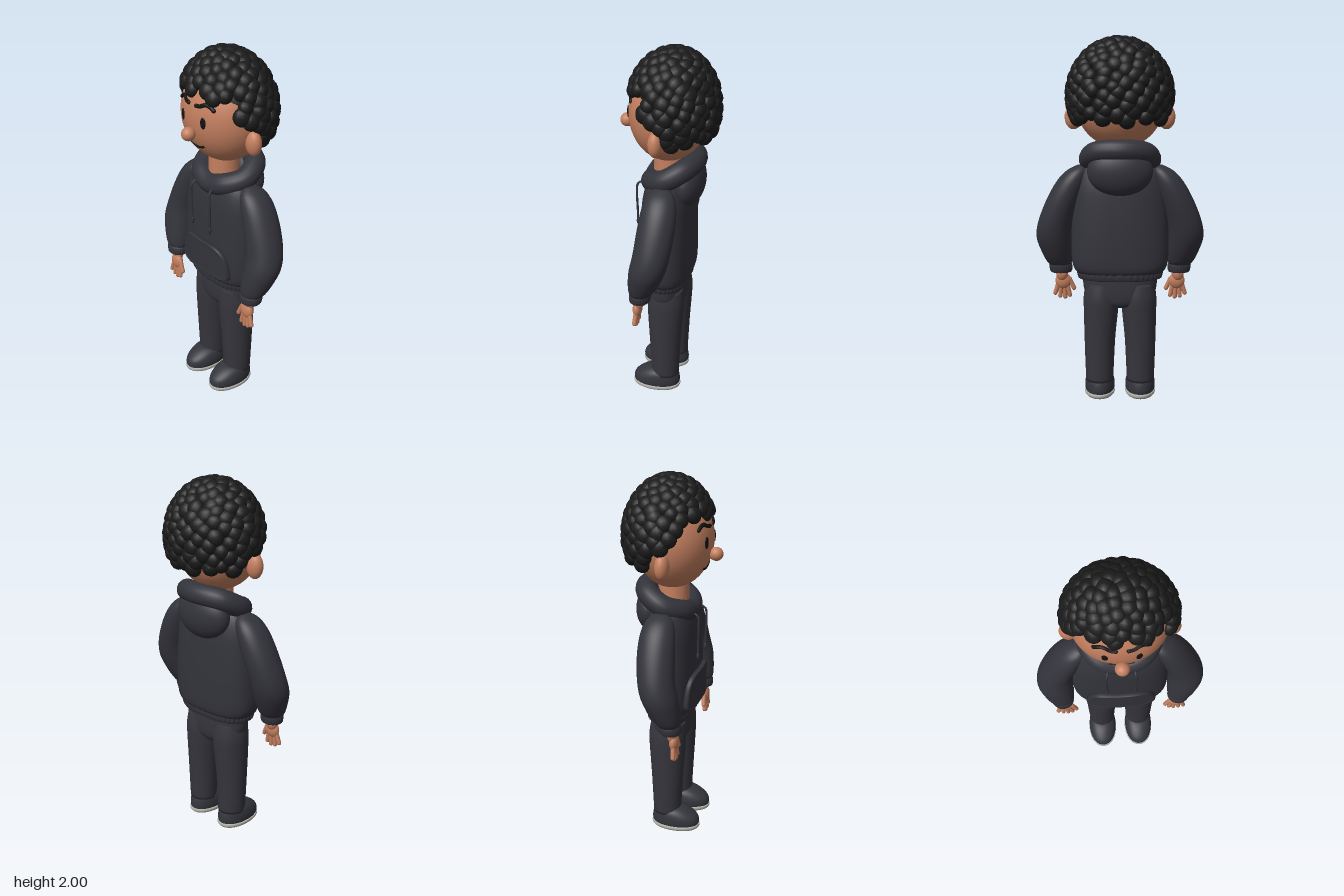
import * as THREE from 'three';

const mat = (name, color) => Object.assign(new THREE.MeshStandardMaterial({ color }), { name });

// Skin over a stack of closed rings, with both ends capped
function skin(rings) {
  const pos = [], idx = [], n = rings[0].length;
  rings.forEach(r => r.forEach(p => pos.push(p.x, p.y, p.z)));
  for (let i = 0; i < rings.length - 1; i++) {
    for (let j = 0; j < n; j++) {
      const a = i * n + j, b = i * n + (j + 1) % n, c = a + n, d = b + n;
      idx.push(a, c, b, b, c, d);
    }
  }
  [0, rings.length - 1].forEach(k => {
    const mid = rings[k].reduce((s, p) => s.add(p), new THREE.Vector3()).divideScalar(n);
    const m = pos.length / 3;
    pos.push(mid.x, mid.y, mid.z);
    for (let j = 0; j < n; j++) {
      const a = k * n + j, b = k * n + (j + 1) % n;
      if (k) idx.push(a, m, b); else idx.push(a, b, m);
    }
  });
  const g = new THREE.BufferGeometry();
  g.setAttribute('position', new THREE.Float32BufferAttribute(pos, 3));
  g.setIndex(idx);
  g.computeVertexNormals();
  return g;
}

// Smooth column of superellipse sections: [y, centre x, centre z, radius x, radius z]
function column(sections, { power = 2, segs = 40, steps = 4, ribs = 0 } = {}) {
  const at = i => sections[Math.max(0, Math.min(sections.length - 1, i))];
  const rings = [];
  for (let k = 0; k <= (sections.length - 1) * steps; k++) {
    const i = Math.floor(k / steps), t = k / steps - i;
    const [y, cx, cz, rx, rz] = at(i).map((p1, c) => {
      const p0 = at(i - 1)[c], p2 = at(i + 1)[c], p3 = at(i + 2)[c];
      return p1 + 0.5 * t * (p2 - p0 + t * (2 * p0 - 5 * p1 + 4 * p2 - p3 + t * (3 * (p1 - p2) + p3 - p0)));
    });
    rings.push(Array.from({ length: segs }, (_, j) => {
      const a = j / segs * Math.PI * 2, c = Math.cos(a), s = Math.sin(a);
      const f = ribs ? 1 + 0.018 * Math.cos(a * ribs) : 1;
      const pw = v => Math.sign(v) * Math.abs(v) ** (2 / power);
      return new THREE.Vector3(cx + f * rx * pw(c), y, cz + f * rz * pw(s));
    }));
  }
  return skin(rings);
}

const V = (x, y, z) => new THREE.Vector3(x, y, z);
const faceZ = (x, y) => 0.21 * Math.sqrt(Math.max(0, 1 - (x / 0.245) ** 2 - ((y - 1.66) / 0.26) ** 2));
const bellyZ = x => 0.14 * (1 - Math.abs(x / 0.265) ** 2.5) ** 0.4;

export function createModel() {
  const model = new THREE.Group();
  const skinTone = mat('skin', 0xc47f5f), hair = mat('hair', 0x1b1b1b), ink = mat('face ink', 0x131111);
  const hoodie = mat('hoodie', 0x33333b), trousers = mat('trousers', 0x35353c);
  const shoe = mat('shoe', 0x34353c), sole = mat('sole', 0xb6b6ae);

  const add = (name, geo, material) => {
    const m = new THREE.Mesh(geo, material);
    m.name = name;
    model.add(m);
    return m;
  };
  const ball = (name, material, p, r, segs = 24) => {
    const m = add(name, new THREE.SphereGeometry(1, segs, Math.round(segs * 0.7)), material);
    m.position.set(...p);
    m.scale.set(...r);
    return m;
  };
  const tube = (name, material, pts, r, closed = false, radial = 8) =>
    add(name, new THREE.TubeGeometry(new THREE.CatmullRomCurve3(pts, closed), closed ? 64 : 20, r, radial, closed), material);

  // Head and face
  ball('head', skinTone, [0, 1.66, 0], [0.245, 0.26, 0.21], 44);
  ball('nose', skinTone, [0, 1.59, 0.228], [0.037, 0.036, 0.037]);
  add('neck', new THREE.CylinderGeometry(0.082, 0.085, 0.22, 28), skinTone).position.set(0, 1.37, 0);
  tube('mouth', ink, [[-0.065, 1.53], [-0.035, 1.515], [0, 1.51], [0.035, 1.515], [0.065, 1.53]]
    .map(([x, y]) => V(x, y, faceZ(x, y))), 0.0065);

  // Hair: a close cap covered in overlapping curls
  const cap = new THREE.SphereGeometry(1, 32, 16, 0, Math.PI * 2, 0, 1.5);
  cap.rotateX(-0.5).scale(0.25, 0.275, 0.225).translate(0, 1.68, -0.02);
  add('hairCap', cap, hair);
  let seed = 7;
  const rnd = () => (seed = (seed * 16807) % 2147483647) / 2147483647;
  const curl = new THREE.SphereGeometry(1, 14, 10);
  const curls = new THREE.Group();
  curls.name = 'curls';
  const total = 270, R = V(0.26, 0.282, 0.218);
  for (let i = 0; i < total; i++) {
    const h = 1 - 2 * (i + 0.5) / total, a = i * 2.39996 + (rnd() - 0.5) * 0.15, w = Math.sqrt(1 - h * h);
    const d = V(w * Math.cos(a), h, w * Math.sin(a));
    const p = d.clone().multiply(R).add(V(0, 1.68, -0.02));
    const hairline = p.z > 0.075 ? 1.795 : p.z > 0.045 ? 1.7 : p.z > -0.035 ? 1.655 : 1.555;
    if (p.y < hairline) continue;
    const m = new THREE.Mesh(curl, hair);
    m.name = 'curl';
    m.position.copy(p);
    m.quaternion.setFromUnitVectors(V(0, 0, 1), d.divide(R).normalize());
    const s = 0.039 + rnd() * 0.008;
    m.scale.set(s, s * 1.05, 0.036);
    curls.add(m);
  }
  model.add(curls);

  // Hooded top
  add('torso', column([
    [0.715, 0, 0, 0.225, 0.115], [0.74, 0, 0, 0.25, 0.134], [0.8, 0, 0, 0.265, 0.14], [0.95, 0, 0, 0.265, 0.14],
    [1.1, 0, 0, 0.255, 0.135], [1.2, 0, 0, 0.243, 0.127], [1.28, 0, 0, 0.215, 0.108],
    [1.33, 0, 0, 0.16, 0.085], [1.345, 0, 0, 0.09, 0.06]], { power: 2.5, segs: 56 }), hoodie);
  add('hemBand', column([[0.685, 0, 0, 0.215, 0.113], [0.692, 0, 0, 0.226, 0.12], [0.72, 0, 0, 0.234, 0.124],
    [0.735, 0, 0, 0.226, 0.118]], { power: 2.4, segs: 160, steps: 2, ribs: 40 }), hoodie);
  const half = [[0.1, 1.3, 0.068], [0.163, 1.335, -0.01], [0.128, 1.385, -0.1]];
  tube('hoodRim', hoodie, [V(0, 1.275, 0.085), ...half.map(p => V(...p)), V(0, 1.398, -0.14),
    ...half.reverse().map(([x, y, z]) => V(-x, y, z))], 0.058, true, 18);
  ball('hoodBag', hoodie, [0, 1.285, -0.105], [0.175, 0.135, 0.088], 32);

  // Front pocket: a rounded outline raised from the belly
  const outline = new THREE.CatmullRomCurve3([[-0.19, 0.775], [-0.188, 0.84], [-0.165, 0.91], [-0.12, 0.945], [0, 0.95],
    [0.12, 0.945], [0.165, 0.91], [0.188, 0.84], [0.19, 0.775], [0.165, 0.765], [0, 0.765], [-0.165, 0.765]]
    .map(([x, y]) => V(x, y, 0)), true).getPoints(60).slice(0, 60);
  add('pocket', skin([[1, -0.01], [1, 0.014], [0.98, 0.022], [0.94, 0.024], [0.92, 0.02], [0.6, 0.022], [0.3, 0.022]]
    .map(([s, lift]) => outline.map(p => V(p.x * s, 0.855 + (p.y - 0.855) * s, bellyZ(p.x * s) + lift)))), hoodie);

  add('hips', column([[0.53, 0, 0, 0.08, 0.075], [0.56, 0, 0, 0.15, 0.095], [0.62, 0, 0, 0.198, 0.102],
    [0.72, 0, 0, 0.205, 0.102]], { power: 2.3 }), trousers);

  for (const s of [1, -1]) {
    const side = s > 0 ? 'left' : 'right';

    // Face details
    ball(side + 'Ear', skinTone, [s * 0.25, 1.567, 0.012], [0.048, 0.067, 0.038]);
    const eye = ball(side + 'Eye', ink, [s * 0.082, 1.665, faceZ(0.082, 1.665)], [0.016, 0.031, 0.005]);
    eye.rotation.y = s * 0.3;
    const brow = [[0.03, 1.742], [0.055, 1.745], [0.085, 1.758], [0.11, 1.752], [0.13, 1.738]];
    tube(side + 'Brow', ink, brow.map(([x, y]) => V(s * x, y, faceZ(x, y))), 0.011);
    [0, 4].forEach(i => {
      const [x, y] = brow[i];
      ball(side + 'BrowEnd', ink, [s * x, y, faceZ(x, y)], [0.011, 0.011, 0.011], 10);
    });

    // Drawstring
    tube(side + 'Drawstring', hoodie, [V(s * 0.07, 1.285, 0.12), V(s * 0.075, 1.265, 0.155), V(s * 0.08, 1.22, 0.16),
      V(s * 0.078, 1.12, 0.158), V(s * 0.076, 1.04, 0.157)], 0.006);
    ball(side + 'DrawstringTip', hoodie, [s * 0.076, 1.045, 0.157], [0.009, 0.022, 0.009], 12);

    // Sleeve and cuff
    add(side + 'Sleeve', column([
      [0.745, s * 0.333, 0.077, 0.058, 0.053], [0.77, s * 0.338, 0.07, 0.074, 0.068], [0.83, s * 0.35, 0.052, 0.088, 0.084],
      [0.91, s * 0.361, 0.03, 0.099, 0.096], [1.0, s * 0.35, 0.01, 0.097, 0.097], [1.12, s * 0.307, -0.003, 0.093, 0.098],
      [1.22, s * 0.262, -0.008, 0.082, 0.09], [1.28, s * 0.228, -0.008, 0.06, 0.068], [1.31, s * 0.205, -0.008, 0.025, 0.03]]), hoodie);
    add(side + 'Cuff', column([[0.7, s * 0.33, 0.082, 0.05, 0.046], [0.706, s * 0.33, 0.082, 0.06, 0.055],
      [0.74, s * 0.332, 0.079, 0.064, 0.058], [0.755, s * 0.333, 0.077, 0.056, 0.052]], { segs: 96, steps: 2, ribs: 24 }), hoodie);

    // Hand with five fanned fingers
    ball(side + 'Wrist', skinTone, [s * 0.325, 0.69, 0.088], [0.034, 0.045, 0.028], 18);
    ball(side + 'Palm', skinTone, [s * 0.32, 0.645, 0.098], [0.045, 0.047, 0.025], 20);
    [[-0.06, 0.6], [-0.036, 0.56], [-0.01, 0.55], [0.018, 0.555], [0.046, 0.572]].forEach(([dx, y], i) => {
      const x = s * (0.32 + dx), root = V(s * (0.32 + dx * 0.6), i ? 0.63 : 0.655, 0.1), tip = V(x, y, 0.104);
      const m = add(side + (i ? 'Finger' : 'Thumb'), new THREE.CapsuleGeometry(0.0125, root.distanceTo(tip), 4, 10), skinTone);
      m.position.copy(root).lerp(tip, 0.5);
      m.quaternion.setFromUnitVectors(V(0, 1, 0), root.sub(tip).normalize());
    });

    // Trouser leg
    add(side + 'Leg', column([[0.1, s * 0.114, -0.002, 0.076, 0.078], [0.2, s * 0.114, -0.002, 0.08, 0.082],
      [0.35, s * 0.112, -0.002, 0.086, 0.09], [0.5, s * 0.106, -0.003, 0.095, 0.1], [0.58, s * 0.104, -0.004, 0.097, 0.102],
      [0.66, s * 0.1, 0, 0.09, 0.095]]), trousers);

    // Shoe and sole
    add(side + 'Shoe', column([[0.025, s * 0.114, 0.048, 0.078, 0.13], [0.05, s * 0.114, 0.048, 0.083, 0.135],
      [0.08, s * 0.114, 0.044, 0.082, 0.128], [0.11, s * 0.114, 0.03, 0.074, 0.104],
      [0.13, s * 0.114, 0.018, 0.055, 0.075], [0.138, s * 0.114, 0.01, 0.03, 0.04]], { power: 2.1 }), shoe);
    add(side + 'Sole', column([[0, s * 0.114, 0.048, 0.05, 0.1], [0.008, s * 0.114, 0.048, 0.076, 0.128],
      [0.022, s * 0.114, 0.048, 0.086, 0.138], [0.035, s * 0.114, 0.048, 0.084, 0.136]], { power: 2.1, steps: 2 }), sole);
  }
  return model;
}
